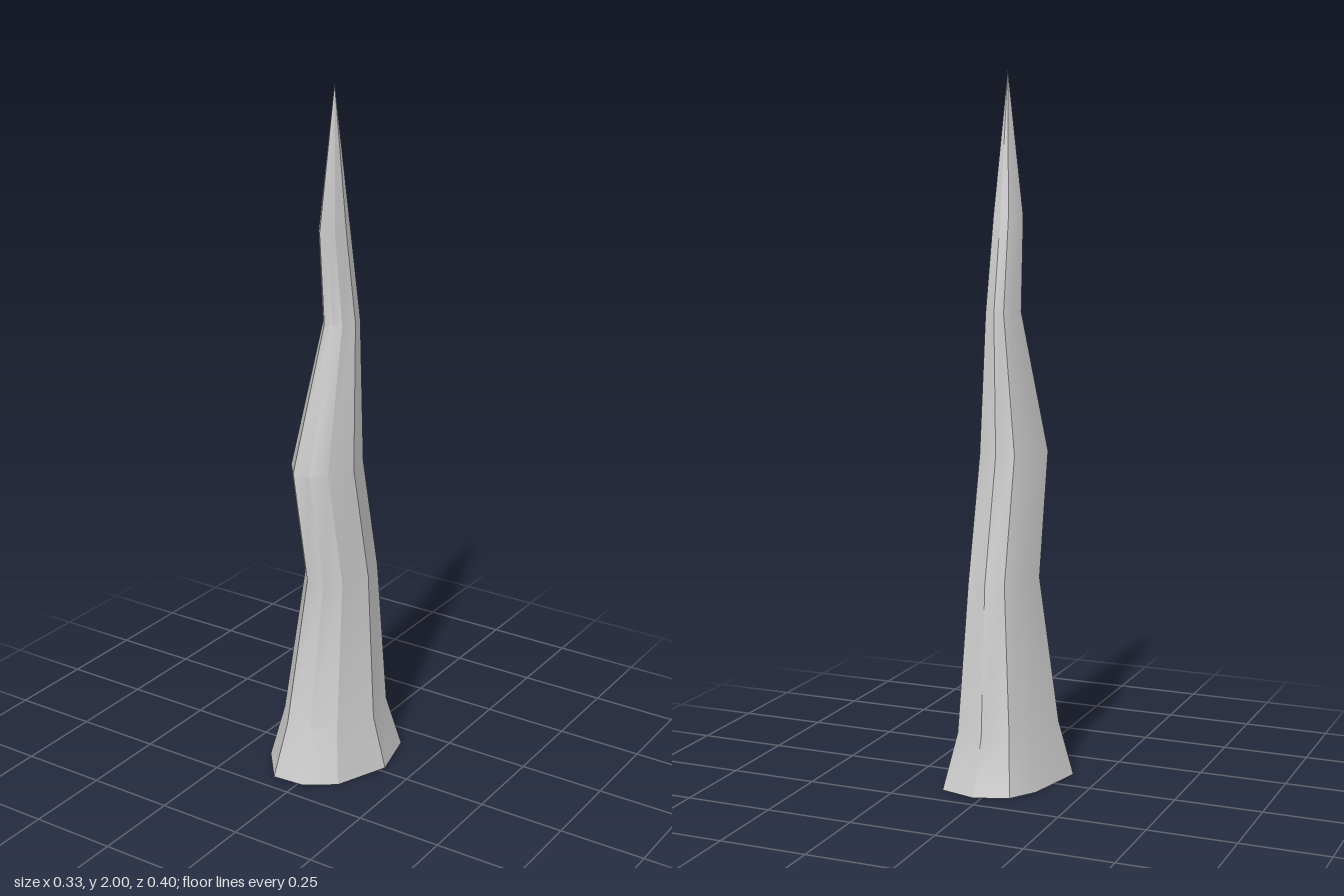
import * as THREE from 'three';
import { toCreasedNormals } from 'three/addons/utils/BufferGeometryUtils.js';

// Irregular nine-sided cross-section [x, z], shared by every ring
const outline = [
  [0.022, -0.2], [0.127, -0.172], [0.164, -0.02], [0.1, 0.135], [0.017, 0.193],
  [-0.08, 0.2], [-0.165, 0.095], [-0.122, -0.09], [-0.073, -0.165],
];

// Rings from the flared foot upwards: height, scale, sway in z
const rings = [
  { y: 0, s: 1, z: 0 },
  { y: 0.16, s: 0.77, z: 0.001 },
  { y: 0.59, s: 0.535, z: -0.031 },
  { y: 0.94, s: 0.515, z: 0.042 },
  { y: 1.34, s: 0.262, z: -0.033 },
  { y: 1.6, s: 0.22, z: 0.002 },
];
const tipHeight = 1.995;

function createSpikeGeometry() {
  const n = outline.length;
  const positions = [];
  const index = [];
  for (const ring of rings) {
    for (const [x, z] of outline) positions.push(x * ring.s, ring.y, z * ring.s + ring.z);
  }
  const tip = positions.length / 3;
  positions.push(0, tipHeight, 0);

  // Sides between neighbouring rings, closing to a point at the tip
  rings.forEach((ring, r) => {
    for (let i = 0; i < n; i++) {
      const a = r * n + i;
      const b = r * n + ((i + 1) % n);
      if (r === rings.length - 1) index.push(b, a, tip);
      else index.push(b, a, a + n, b, a + n, b + n);
    }
  });

  // Flat underside
  for (let i = 1; i < n - 1; i++) index.push(0, i, i + 1);

  const geometry = new THREE.BufferGeometry();
  geometry.setAttribute('position', new THREE.Float32BufferAttribute(positions, 3));
  geometry.setIndex(index);
  return toCreasedNormals(geometry, THREE.MathUtils.degToRad(30));
}

export function createModel() {
  const group = new THREE.Group();
  group.name = 'crookedSpike';
  const material = new THREE.MeshStandardMaterial({ color: 0xcccccc });
  const spike = new THREE.Mesh(createSpikeGeometry(), material);
  spike.name = 'spike';
  group.add(spike);
  return group;
}
